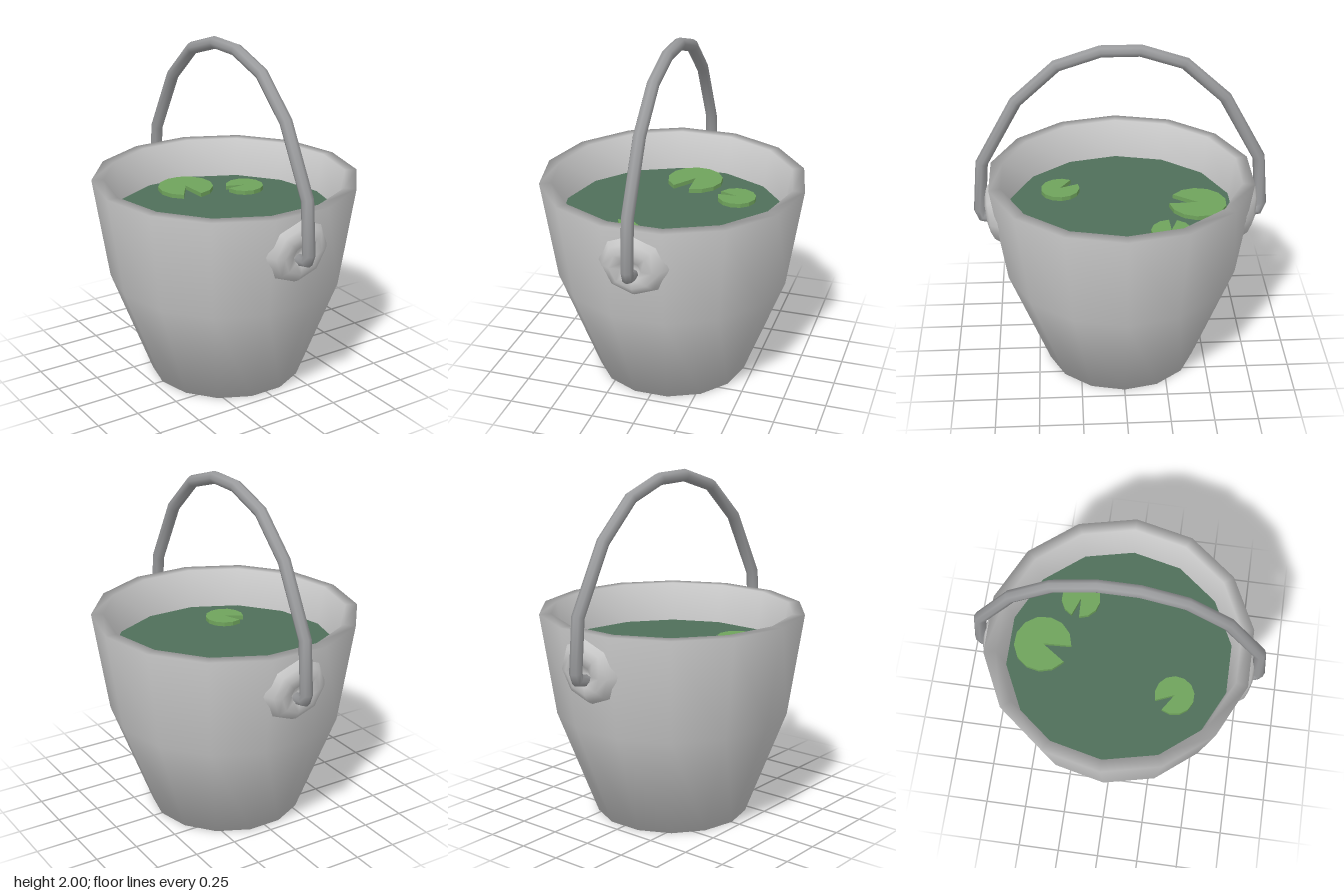
import * as THREE from 'three';

const SIDES = 14;
const WATER_Y = 0.98;
const v2 = (list) => list.map(([x, y]) => new THREE.Vector2(x, y));

function material(color) {
  return new THREE.MeshStandardMaterial({ color, side: THREE.DoubleSide });
}

function add(parent, name, geometry, mat) {
  const mesh = new THREE.Mesh(geometry, mat);
  mesh.name = name;
  parent.add(mesh);
  return mesh;
}

// Tube path with one ring at every given point, bent along the corner bisector
class PolylinePath extends THREE.Curve {
  constructor(points) {
    super();
    this.points = points;
  }
  index(t) {
    return Math.round(t * (this.points.length - 1));
  }
  getPointAt(t, target = new THREE.Vector3()) {
    return target.copy(this.points[this.index(t)]);
  }
  getTangentAt(t, target = new THREE.Vector3()) {
    const p = this.points, i = this.index(t);
    target.set(0, 0, 0);
    if (i > 0) target.add(p[i].clone().sub(p[i - 1]).normalize());
    if (i < p.length - 1) target.add(p[i + 1].clone().sub(p[i]).normalize());
    return target.normalize();
  }
}

// Round leaf with a wedge cut out; angle is the notch direction in the x-z plane
function lilyPadGeometry(radius, angle, notch) {
  const steps = 12;
  const outline = [new THREE.Vector2(0, 0)];
  for (let i = 0; i <= steps; i++) {
    const a = angle + notch / 2 + (i / steps) * (Math.PI * 2 - notch);
    outline.push(new THREE.Vector2(Math.cos(a) * radius, -Math.sin(a) * radius));
  }
  const geometry = new THREE.ExtrudeGeometry(new THREE.Shape(outline), { depth: 0.025, bevelEnabled: false });
  return geometry.rotateX(-Math.PI / 2);
}

export function createModel() {
  const bucket = new THREE.Group();
  bucket.name = 'bucket';
  const grey = material(0xcccccc);
  const handleGrey = material(0x9b9c9e);

  // Base, outer wall, rim and inner wall as one turned profile
  const wall = v2([[0, 0], [0.445, 0], [0.68, 0.62], [0.77, 1.21], [0.7, 1.21], [0.66, WATER_Y], [0.65, 0.9]]);
  add(bucket, 'bucketWall', new THREE.LatheGeometry(wall, SIDES, Math.PI / 2), grey);

  // Water surface
  const water = add(bucket, 'water', new THREE.CircleGeometry(0.665, SIDES).rotateX(-Math.PI / 2), material(0x4f6f5a));
  water.position.y = WATER_Y;

  // Dimpled bosses that hold the handle, front and back
  const bossProfile = v2([[0.2, -0.015], [0.165, 0.03], [0.12, 0.05], [0.06, 0.045], [0.045, 0.015], [0, 0.01]]);
  const bossGeometry = new THREE.LatheGeometry(bossProfile, 8).rotateX(Math.PI / 2 + 0.15).translate(0, 0.985, 0.72);
  [['frontBoss', 0], ['backBoss', Math.PI]].forEach(([name, turn]) => {
    add(bucket, name, bossGeometry, grey).rotation.y = turn;
  });

  // Handle: half path mirrored over the top, ends hooked into the bosses
  const half = [[0.7, 0.935], [0.8, 0.955], [0.815, 1.0], [0.79, 1.3], [0.585, 1.675], [0.355, 1.885], [0.11, 1.965]];
  const path = [...half, ...half.slice().reverse().map(([z, y]) => [-z, y])]
    .map(([z, y]) => new THREE.Vector3(0, y, z));
  add(bucket, 'handle', new THREE.TubeGeometry(new PolylinePath(path), path.length - 1, 0.036, 8), handleGrey);

  // Floating lily pads: x, z, radius, notch direction, notch width
  const leafGreen = material(0x6fa35c);
  const pads = [
    [0, -0.45, 0.168, 1.85, 0.65],
    [0.31, -0.27, 0.115, 3.3, 0.4],
    [-0.21, 0.35, 0.115, 4.02, 0.6],
  ];
  pads.forEach(([x, z, radius, angle, notch], i) => {
    const pad = add(bucket, `lilyPad${i + 1}`, lilyPadGeometry(radius, angle, notch), leafGreen);
    pad.position.set(x, WATER_Y + 0.004, z);
  });

  return bucket;
}
